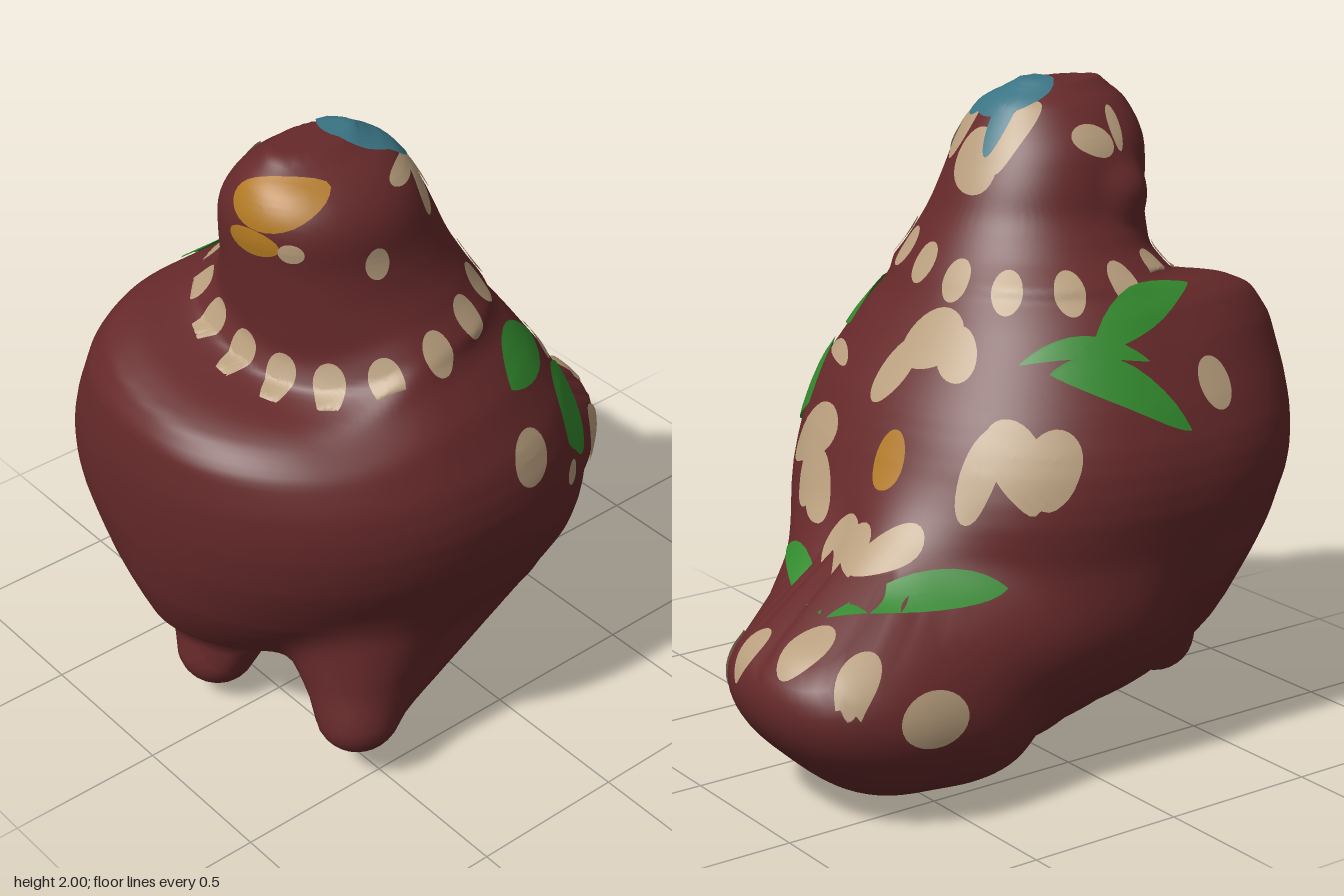
import * as THREE from 'three';
import { mergeVertices } from 'three/addons/utils/BufferGeometryUtils.js';

const V = (x, y, z) => new THREE.Vector3(x, y, z);
const { lerp, smoothstep, clamp } = THREE.MathUtils;

// Body cross-sections from belly to crown: y, x min, x max, z min, z max
const LEVELS = [
  [0.05, -0.35, -0.2, -0.45, -0.05],
  [0.1, -0.46, -0.05, -0.48, 0.3],
  [0.15, -0.52, 0.06, -0.5, 0.48],
  [0.22, -0.57, 0.2, -0.53, 0.68],
  [0.3, -0.62, 0.38, -0.55, 0.81],
  [0.5, -0.68, 0.58, -0.58, 0.92],
  [0.7, -0.71, 0.68, -0.54, 0.97],
  [0.9, -0.73, 0.73, -0.46, 1.0],
  [1.05, -0.67, 0.72, -0.4, 1.01],
  [1.25, -0.55, 0.62, -0.26, 0.99],
  [1.35, -0.48, 0.54, -0.19, 0.94],
  [1.4, -0.43, 0.51, -0.16, 0.84],
  [1.42, -0.41, 0.5, -0.15, 0.66],
  [1.5, -0.32, 0.44, -0.1, 0.62],
  [1.6, -0.25, 0.39, -0.04, 0.63],
  [1.7, -0.23, 0.36, 0.0, 0.64],
  [1.8, -0.2, 0.35, 0.05, 0.65],
  [1.88, -0.14, 0.31, 0.1, 0.63],
  [1.95, -0.07, 0.22, 0.16, 0.58],
  [1.985, 0.01, 0.11, 0.27, 0.5],
];
const BOTTOM = LEVELS[0][0], TOP = LEVELS.at(-1)[0];

function sectionAt(y) {
  y = clamp(y, BOTTOM, TOP);
  let i = 1;
  while (LEVELS[i][0] < y) i++;
  const a = LEVELS[i - 1], b = LEVELS[i], t = (y - a[0]) / (b[0] - a[0]);
  return a.map((v, k) => lerp(v, b[k], t));
}

function trunk(x, y, z) {
  // the breast lip slopes down towards the left
  const ye = y + 0.18 * (x + 0.35) * smoothstep(z, 0.3, 0.7) * Math.exp(-(((y - 1.38) / 0.15) ** 2));
  // soften the steps between sections, but keep the lip crisp
  const w = y < 1.4 ? lerp(0.1, 0.012, smoothstep(y, 0.95, 1.28)) : lerp(0.012, 0.03, smoothstep(y, 1.45, 1.6));
  const taps = [-w, -w / 3, w / 3, w].map((d) => sectionAt(ye + d));
  const [x0, x1, z0, z1] = [1, 2, 3, 4].map((k) => (taps[0][k] + taps[1][k] + taps[2][k] + taps[3][k]) / 4);
  const cx = (x0 + x1) / 2, cz = (z0 + z1) / 2, rx = (x1 - x0) / 2, rz = (z1 - z0) / 2;
  // corners: full at the breast, pared away towards the feet
  const low = 1 - smoothstep(y, 1.3, 1.5), full = smoothstep(y, 0.3, 0.9);
  const corner = z > cz ? lerp(-0.6, x < cx ? 0.25 : -0.3, full) : lerp(-0.35, 0, full);
  const n = 2.1 + (0.25 + corner) * low;
  const rho = (Math.abs((x - cx) / rx) ** n + Math.abs((z - cz) / rz) ** n) ** (1 / n);
  return Math.max((rho - 1) * Math.min(rx, rz), BOTTOM - y, y - TOP);
}

function tail(x, y, z) {
  const t = Math.abs((z + 0.55) / 0.45) ** 2.5 + Math.abs((x + 0.315) / 0.39) ** 2.5;
  const h = Math.abs((y - 0.28 + 0.2 * (z + 0.55)) / 0.275);
  return (Math.sqrt(t ** 0.8 + h * h) - 1) * 0.3;
}

function limb(x, y, z, a, b, ra, rb) {
  const p = V(x, y, z).sub(a), d = b.clone().sub(a);
  const t = clamp(p.dot(d) / d.lengthSq(), 0, 1);
  return p.addScaledVector(d, -t).length() - lerp(ra, rb, t);
}

// Legs and the ridge behind the left one, then the rump and flank that run into the tail
const LIMBS = [
  [V(-0.2, 0.6, 0.43), V(-0.13, 0.17, 0.64), 0.46, 0.13],
  [V(0.2, 0.75, 0.3), V(0.45, 0.22, 0.55), 0.46, 0.12],
  [V(0.22, 0.47, -0.05), V(0.44, 0.23, 0.52), 0.26, 0.12],
  [V(-0.2, 0.62, -0.2), V(-0.3, 0.42, -0.62), 0.36, 0.2],
  [V(0.07, 0.55, -0.2), V(-0.09, 0.38, -0.64), 0.36, 0.2],
  [V(-0.4, 0.5, 0.1), V(-0.38, 0.32, -0.6), 0.3, 0.29],
];
const CHEEK = [V(-0.1, 1.66, 0.4), V(-0.16, 1.65, 0.42), 0.1, 0.1];

function blend(a, b, k) {
  const h = Math.max(k - Math.abs(a - b), 0) / k;
  return Math.min(a, b) - h * h * k * 0.25;
}

// Negative inside the clay form
function field(x, y, z) {
  let f = trunk(x, y, z);
  if (y > 1.4) return blend(f, limb(x, y, z, ...CHEEK), 0.05);
  f = blend(f, tail(x, y, z), 0.08);
  for (const l of LIMBS) f = blend(f, limb(x, y, z, ...l), 0.06);
  return f;
}

// First point where a ray enters the form, or null
function cast(from, dir, reach) {
  const at = (t) => field(from.x + dir.x * t, from.y + dir.y * t, from.z + dir.z * t);
  let t = 0;
  while (at(t) > 0) if ((t += 0.025) > reach) return null;
  let a = Math.max(0, t - 0.025), b = t;
  for (let i = 0; i < 11; i++) {
    const m = (a + b) / 2;
    if (at(m) > 0) a = m; else b = m;
  }
  return from.clone().addScaledVector(dir, b);
}

function outward({ x, y, z }) {
  const e = 0.006;
  return V(field(x + e, y, z) - field(x - e, y, z), field(x, y + e, z) - field(x, y - e, z),
    field(x, y, z + e) - field(x, y, z - e)).normalize();
}

function bodyGeometry() {
  const g = new THREE.SphereGeometry(1, 200, 140), pos = g.attributes.position, c = V(-0.05, 1.02, 0.1);
  for (let i = 0; i < pos.count; i++) {
    const d = V().fromBufferAttribute(pos, i).normalize();
    const p = cast(c.clone().addScaledVector(d, 1.4), d.clone().negate(), 1.4) || c;
    pos.setXYZ(i, p.x, p.y, p.z);
  }
  g.deleteAttribute('uv');
  g.deleteAttribute('normal');
  const m = mergeVertices(g, 1e-4);
  m.computeVertexNormals();
  return m;
}

// Directions along which painted marks are laid on the clay
const LAY = {
  top: (u, v) => [V(u, 2.2, v), V(0, -1, 0)],
  front: (u, v) => [V(u, v, 1.2), V(0, 0, -1)],
  left: (u, v) => [V(1.2, v, u), V(-1, 0, 0)],
  right: (u, v) => [V(-1.2, v, u), V(1, 0, 0)],
};

// Thin painted patch: an oval or pointed leaf draped over the form
function patchGeometry(lay, u, v, ru, rv, turn = 0, leaf = false, lift = 0.006) {
  const rings = 7, segs = 28, pts = [], idx = [], c = Math.cos(turn), s = Math.sin(turn);
  for (let r = 0; r <= rings; r++) for (let k = 0; k < segs; k++) {
    const a = (k / segs) * Math.PI * 2, sn = Math.sin(a), across = leaf ? sn * Math.abs(sn) ** 0.7 : sn;
    let du = (Math.cos(a) * ru * r) / rings, dv = (across * rv * r) / rings, p = null;
    for (let i = 0; i < 12 && !p; i++, du *= 0.85, dv *= 0.85)
      p = cast(...lay(u + du * c - dv * s, v + du * s + dv * c), 2.3);
    p = p || V(0, 0.8, 0.1);
    p.addScaledVector(outward(p), lift);
    pts.push(p.x, p.y, p.z);
    if (r < rings) {
      const i = r * segs + k, j = r * segs + ((k + 1) % segs);
      idx.push(i, i + segs, j, j, i + segs, j + segs);
    }
  }
  const g = new THREE.BufferGeometry();
  g.setAttribute('position', new THREE.Float32BufferAttribute(pts, 3));
  g.setIndex(idx);
  g.computeVertexNormals();
  return g;
}

export function createModel() {
  const group = new THREE.Group();
  const paint = (name, color) => {
    const m = new THREE.MeshStandardMaterial({ color, side: THREE.DoubleSide });
    m.name = name;
    return m;
  };
  const clay = paint('red clay', 0x66292a), cream = paint('cream', 0xb89e7d), green = paint('green', 0x32892d),
    gold = paint('gold', 0xb07820), blue = paint('blue', 0x3a7484);
  const add = (name, geometry, material) => {
    const m = new THREE.Mesh(geometry, material);
    m.name = name;
    group.add(m);
  };
  const marks = (name, mat, lay, list, lift) => list.forEach(([u, v, ru, rv, turn = 0]) =>
    add(name, patchGeometry(LAY[lay], u, v, ru, rv, turn, false, lift), mat));

  add('body', bodyGeometry(), clay);

  // Necklace of dots round the neck
  for (let i = 0; i < 16; i++) {
    const a = (i / 16) * Math.PI * 2, sx = Math.sin(a), sz = Math.cos(a), reach = sz > 0.3 ? 0.45 : 0.56;
    const lay = (u, v) => [V(0.07 + sx * reach + sz * u, v, 0.27 + sz * reach - sx * u), V(-sx, 0, -sz)];
    add('necklaceDot', patchGeometry(lay, 0, 1.425 - 0.07 * sz * (0.5 + sx), 0.048, 0.06), cream);
  }

  // Tail dots
  marks('tailDot', cream, 'top', [[-0.59, -0.82, 0.05, 0.08, -0.2], [-0.42, -0.88, 0.065, 0.09], [-0.23, -0.94, 0.05, 0.055]]);
  marks('tailDot', cream, 'left', [[-0.86, 0.36, 0.075, 0.09]]);
  marks('tailDot', cream, 'right', [[-0.63, 0.34, 0.11, 0.08]]);

  // Petals on the back around a gold centre
  marks('petal', cream, 'top', [
    [-0.21, -0.63, 0.085, 0.1], [-0.34, -0.55, 0.05, 0.11, 0.6], [-0.14, -0.58, 0.09, 0.055, 0.4],
    [-0.23, -0.22, 0.075, 0.05], [-0.04, -0.31, 0.075, 0.055, -0.8], [-0.12, -0.23, 0.11, 0.06, -0.3],
    [-0.46, -0.3, 0.045, 0.08, 0.2], [-0.52, -0.22, 0.1, 0.05, -0.5], [-0.59, -0.14, 0.045, 0.09, 0.4],
    [0.1, -0.5, 0.1, 0.035, 0.4], [0.23, -0.42, 0.13, 0.035, 0.1], [0.19, -0.47, 0.08, 0.035, 0.5],
    [0.31, -0.28, 0.11, 0.018, 0.4],
  ]);
  marks('flowerCentre', gold, 'top', [[-0.18, -0.43, 0.06, 0.042]]);
  marks('sideDot', cream, 'left', [[0.07, 1.07, 0.075, 0.08], [-0.14, 0.9, 0.03, 0.04]]);
  marks('sideDot', cream, 'right', [[0.45, 1.14, 0.06, 0.075]]);

  // Leaves, each from stalk to tip: x, z, x, z, half width
  for (const [x0, z0, x1, z1, w] of [
    [-0.37, -0.78, -0.59, -0.3, 0.05], [-0.34, -0.78, 0.15, -0.58, 0.035],
    [-0.47, -0.06, -0.675, 0.31, 0.042], [-0.4, -0.12, -0.56, 0.24, 0.022], [-0.5, 0.07, -0.42, 0.5, 0.048],
    [0.36, -0.36, 0.62, -0.13, 0.055], [0.35, -0.21, 0.57, 0.06, 0.055],
  ])
    add('leaf', patchGeometry(LAY.top, (x0 + x1) / 2, (z0 + z1) / 2, Math.hypot(x1 - x0, z1 - z0) / 2, w,
      Math.atan2(z1 - z0, x1 - x0), true, 0.008), green);

  // Crown patch with cream border
  marks('crownBorder', cream, 'top', [[0.03, 0.04, 0.09, 0.05], [-0.05, 0.13, 0.035, 0.09], [0.16, 0.1, 0.045, 0.06]]);
  marks('crown', blue, 'top', [[0.075, 0.22, 0.115, 0.115], [0.015, 0.13, 0.035, 0.085, -0.25], [0.14, 0.17, 0.055, 0.06]], 0.009);

  // Eye curls and face dots
  marks('eyeCurl', cream, 'left', [[0.2, 1.89, 0.07, 0.022], [0.14, 1.82, 0.028, 0.07]]);
  marks('eyeCurl', cream, 'top', [[-0.175, 0.32, 0.03, 0.07, 0.2], [-0.15, 0.42, 0.05, 0.022, 0.3]]);
  marks('faceDot', cream, 'left', [[0.38, 1.71, 0.038, 0.048]]);
  marks('faceDot', cream, 'front', [[0.24, 1.77, 0.03, 0.03]]);

  // Beak
  marks('beak', gold, 'front', [[0.15, 1.885, 0.115, 0.065], [0.13, 1.78, 0.085, 0.04]]);
  return group;
}
